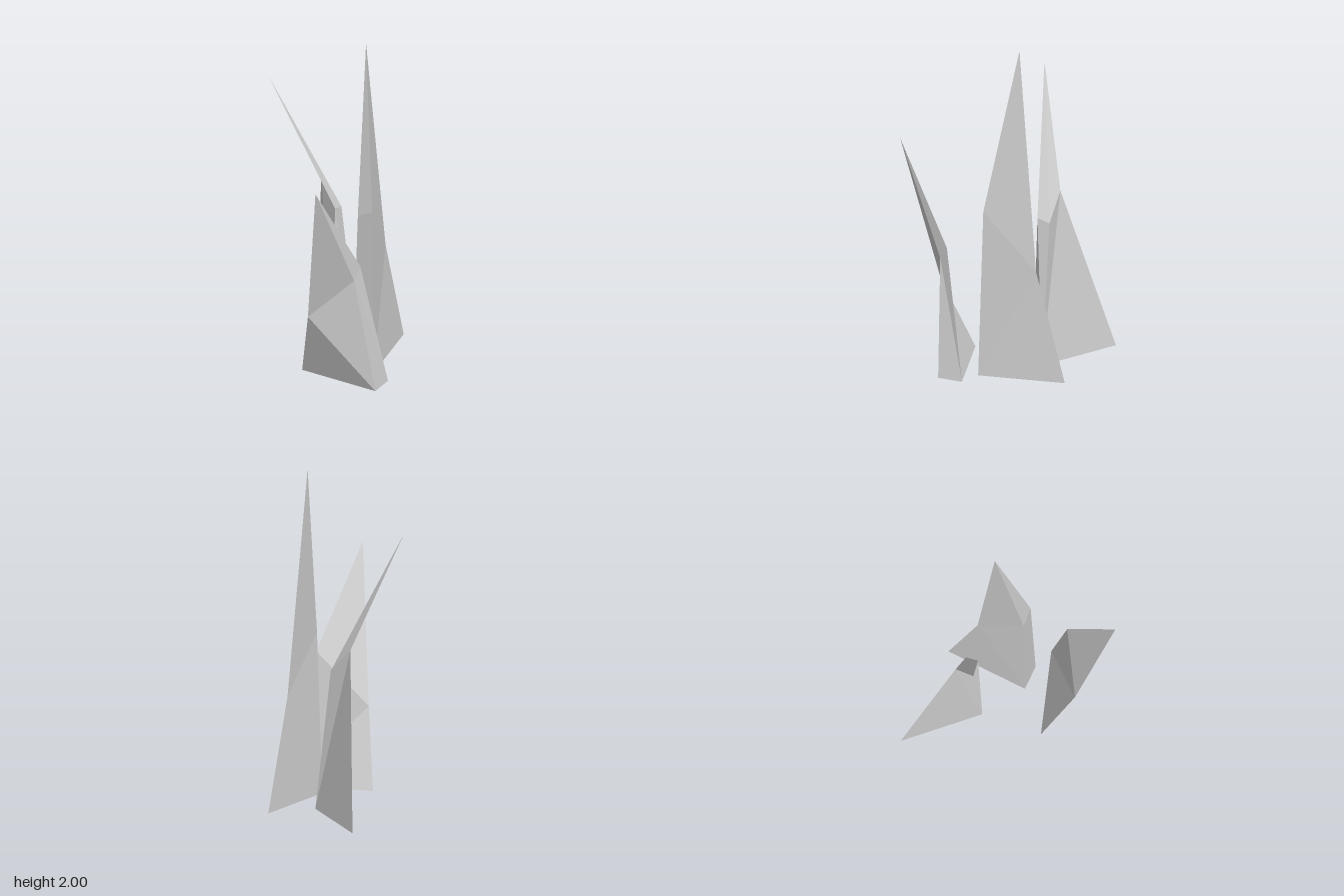
import * as THREE from 'three';

// A faceted shard: triangular base, triangular waist, single tip.
// Base and waist corners run counter-clockwise seen from above.
function makeShard(name, base, waist, tip) {
  const positions = [];
  const tri = (...corners) => corners.forEach((c) => positions.push(...c));
  const [b0, b1, b2] = base;
  const [m0, m1, m2] = waist;

  // lower sides, each split along a diagonal
  tri(b0, b1, m0); tri(b1, m1, m0);
  tri(b1, b2, m1); tri(b2, m2, m1);
  tri(b2, b0, m0); tri(b2, m0, m2);
  // point
  for (let i = 0; i < 3; i++) tri(waist[i], waist[(i + 1) % 3], tip);
  // underside
  tri(b0, b2, b1);

  const geometry = new THREE.BufferGeometry();
  geometry.setAttribute('position', new THREE.Float32BufferAttribute(positions, 3));
  geometry.computeVertexNormals();
  const material = new THREE.MeshStandardMaterial({ color: 0xcccccc, flatShading: true });
  const mesh = new THREE.Mesh(geometry, material);
  mesh.name = name;
  return mesh;
}

export function createModel() {
  const group = new THREE.Group();
  group.name = 'shardCluster';

  group.add(
    // shard bending out to the right
    makeShard('rightShard',
      [[-0.425, 0.005, -0.518], [-0.08, 0.005, -0.163], [0.02, 0.005, -0.27]],
      [[-0.224, 1.0, -0.264], [-0.08, 0.87, -0.19], [-0.085, 0.85, -0.264]],
      [-0.445, 1.68, -0.05]),
    // tallest, nearly upright shard
    makeShard('tallShard',
      [[0.185, 0.005, -0.5], [0.163, 0.005, -0.008], [0.31, 0.005, -0.008]],
      [[0.184, 0.66, -0.315], [0.187, 0.97, -0.026], [0.285, 1.02, -0.028]],
      [0.137, 2.0, -0.185]),
    // short shard leaning forward
    makeShard('frontShard',
      [[-0.05, 0.005, 0.192], [0.445, 0.005, 0.18], [0.434, 0.005, 0.033]],
      [[0.09, 0.45, 0.342], [0.33, 0.7, 0.225], [0.34, 0.775, 0.177]],
      [0.26, 1.365, 0.518])
  );
  return group;
}
